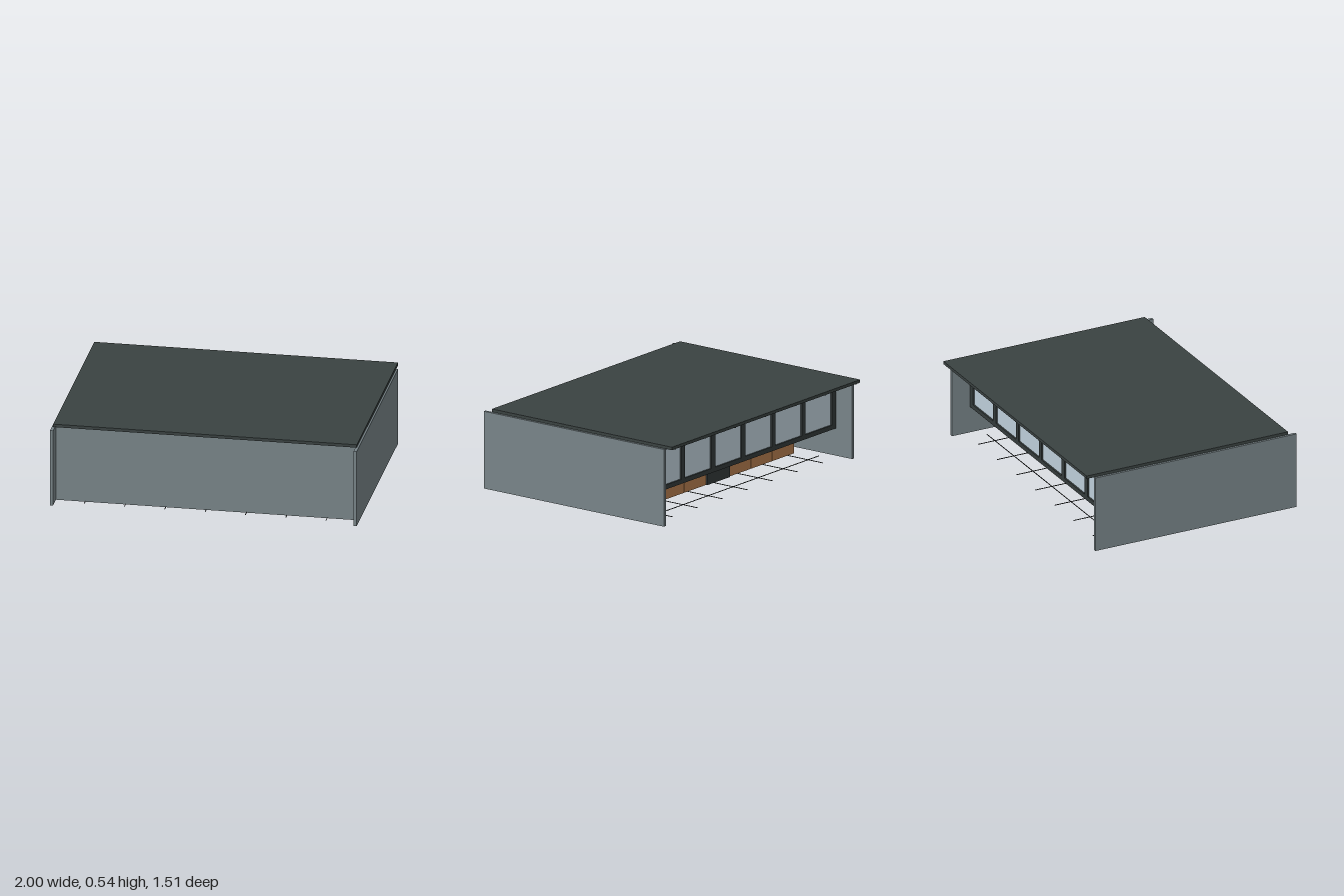
import * as THREE from 'three';

const paint = (name, color) => {
  const m = new THREE.MeshStandardMaterial({ color });
  m.name = name;
  return m;
};

export function createModel() {
  const model = new THREE.Group();
  model.name = 'pavilion';
  const wall = paint('wall grey', 0x788488);
  const roofDark = paint('roof charcoal', 0x3a4241);
  const frame = paint('frame charcoal', 0x343b3b);
  const glass = paint('window glass', 0xc2d3de);
  const wood = paint('cabinet wood', 0xb98050);
  const joint = paint('floor joint', 0x2a2d2e);
  const metal = paint('tap metal', 0xc4c8ca);

  // Box given by its limits on each axis
  const box = (name, mat, [x0, x1], [y0, y1], [z0, z1], parent = model) => {
    const mesh = new THREE.Mesh(new THREE.BoxGeometry(x1 - x0, y1 - y0, z1 - z0), mat);
    mesh.position.set((x0 + x1) / 2, (y0 + y1) / 2, (z0 + z1) / 2);
    mesh.name = name;
    parent.add(mesh);
  };
  const group = (name) => {
    const g = new THREE.Group();
    g.name = name;
    model.add(g);
    return g;
  };
  const around = (c, w) => [c - w / 2, c + w / 2];

  // Shell: two side walls, recessed front wall and flat roof
  box('leftWall', wall, [0.98, 1], [0, 0.515], [-0.7, 0.757]);
  box('rightWall', wall, [-1, -0.98], [0, 0.515], [-0.7, 0.757]);
  box('frontWall', wall, [-0.98, 0.98], [0, 0.515], [0.635, 0.655]);
  box('roof', roofDark, [-0.99, 0.99], [0.518, 0.538], [-0.757, 0.7]);
  box('ceiling', roofDark, [-0.975, 0.975], [0.51, 0.518], [-0.7, 0.65]);

  // Raised window band along the back
  const band = group('windowBand');
  const pitch = 0.317, backZ = [-0.575, -0.535];
  box('windowSill', frame, [-0.97, 0.97], [0.185, 0.215], backZ, band);
  box('windowHead', frame, [-0.97, 0.97], [0.465, 0.51], backZ, band);
  for (let i = 0; i <= 6; i++) {
    const x = (i - 3) * pitch;
    box('windowPost', frame, around(x, 0.04), [0.215, 0.465], backZ, band);
    box('eaveSeam', frame, around(x, 0.008), [0.514, 0.518], [-0.755, -0.7], band);
    if (i < 6) box('windowPane', glass, around(x + pitch / 2, pitch - 0.04), [0.215, 0.465], [-0.564, -0.556], band);
  }

  // Thin floor joints, with a drain of short slots
  const floor = group('floorJoints');
  for (let i = -3; i <= 3; i++) box('longJoint', joint, around(i * 0.263, 0.004), [0, 0.004], [-0.61, 0.695], floor);
  for (let i = -2; i <= 2; i++) box('crossJoint', joint, [-0.9, 0.9], [0, 0.004], around(0.07 + i * 0.28, 0.004), floor);
  for (let i = 0; i < 5; i++) box('drainSlot', joint, [-0.17, 0.23], [0, 0.004], around(0.24 + i * 0.048, 0.006), floor);

  // Counter with wooden cabinets either side of a dark sink unit
  const counter = group('counter');
  box('worktop', frame, [-0.84, 0.84], [0.175, 0.195], [-0.38, -0.22], counter);
  for (const s of [-1, 1]) {
    for (let i = 0; i < 3; i++) {
      box('cabinet', wood, around(s * (0.235 + i * 0.228), 0.223), [0.02, 0.175], [-0.365, -0.25], counter);
    }
    for (const x of [0.23, 0.82]) box('stoolBlock', wall, around(s * x, 0.11), [0.02, 0.12], [-0.11, -0.05], counter);
  }
  box('sinkUnit', frame, [-0.12, 0.12], [0.02, 0.2], [-0.375, -0.24], counter);

  // Arched tap above the sink
  const tap = new THREE.Mesh(new THREE.TorusGeometry(0.035, 0.007, 8, 16, Math.PI), metal);
  tap.name = 'tap';
  tap.position.set(0, 0.23, -0.3);
  counter.add(tap);
  box('tapStem', metal, around(0.035, 0.014), [0.195, 0.23], around(-0.3, 0.014), counter);

  return model;
}
